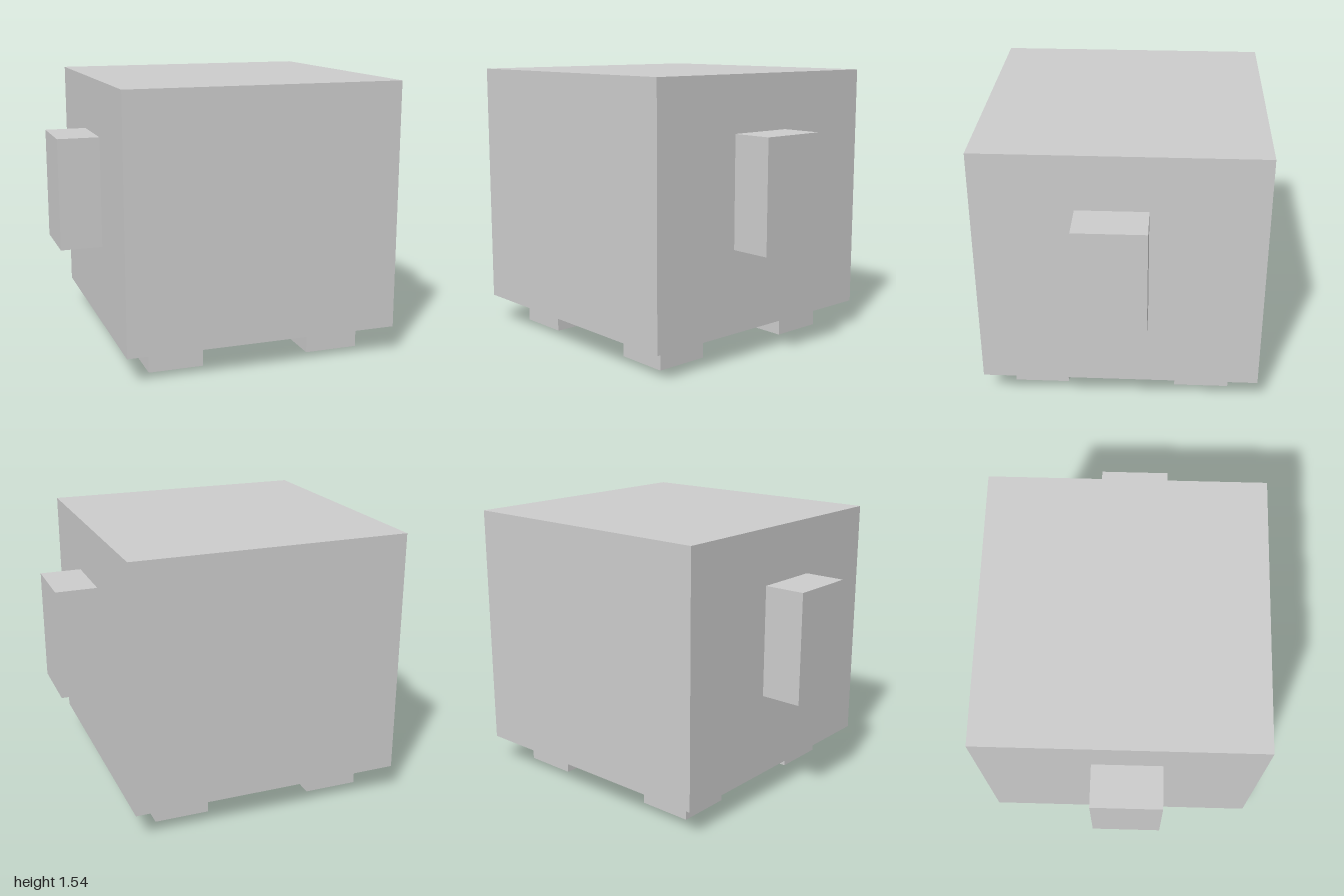
import * as THREE from 'three';

// The model sits on a block grid: 26 units across the arms make 2 units of length.
const U = 1 / 13;
const material = new THREE.MeshStandardMaterial({ color: 0xcccccc, flatShading: true });

// Box from its minimum and maximum corners, in grid units.
function block(name, min, max) {
  const [w, h, d] = max.map((v, i) => (v - min[i]) * U);
  const mesh = new THREE.Mesh(new THREE.BoxGeometry(w, h, d), material);
  mesh.position.set(...max.map((v, i) => ((v + min[i]) / 2) * U));
  mesh.name = name;
  return mesh;
}

export function createModel() {
  const model = new THREE.Group();
  model.name = 'blockCreature';

  // Large cubic body
  model.add(block('body', [-10, 2, -10], [10, 20, 10]));

  for (const [side, s] of [['left', 1], ['right', -1]]) {
    // Arm on the side of the body, slightly forward of centre
    const arm = block(`${side}Arm`, [10, 8, -2], [13, 16, 3]);
    arm.position.x *= s;
    model.add(arm);

    // Front and back feet under the body
    for (const [end, e] of [['Front', 1], ['Back', -1]]) {
      const foot = block(`${side}${end}Foot`, [4, 0, 4], [8, 2, 8]);
      foot.position.x *= s;
      foot.position.z *= e;
      model.add(foot);
    }
  }
  return model;
}
